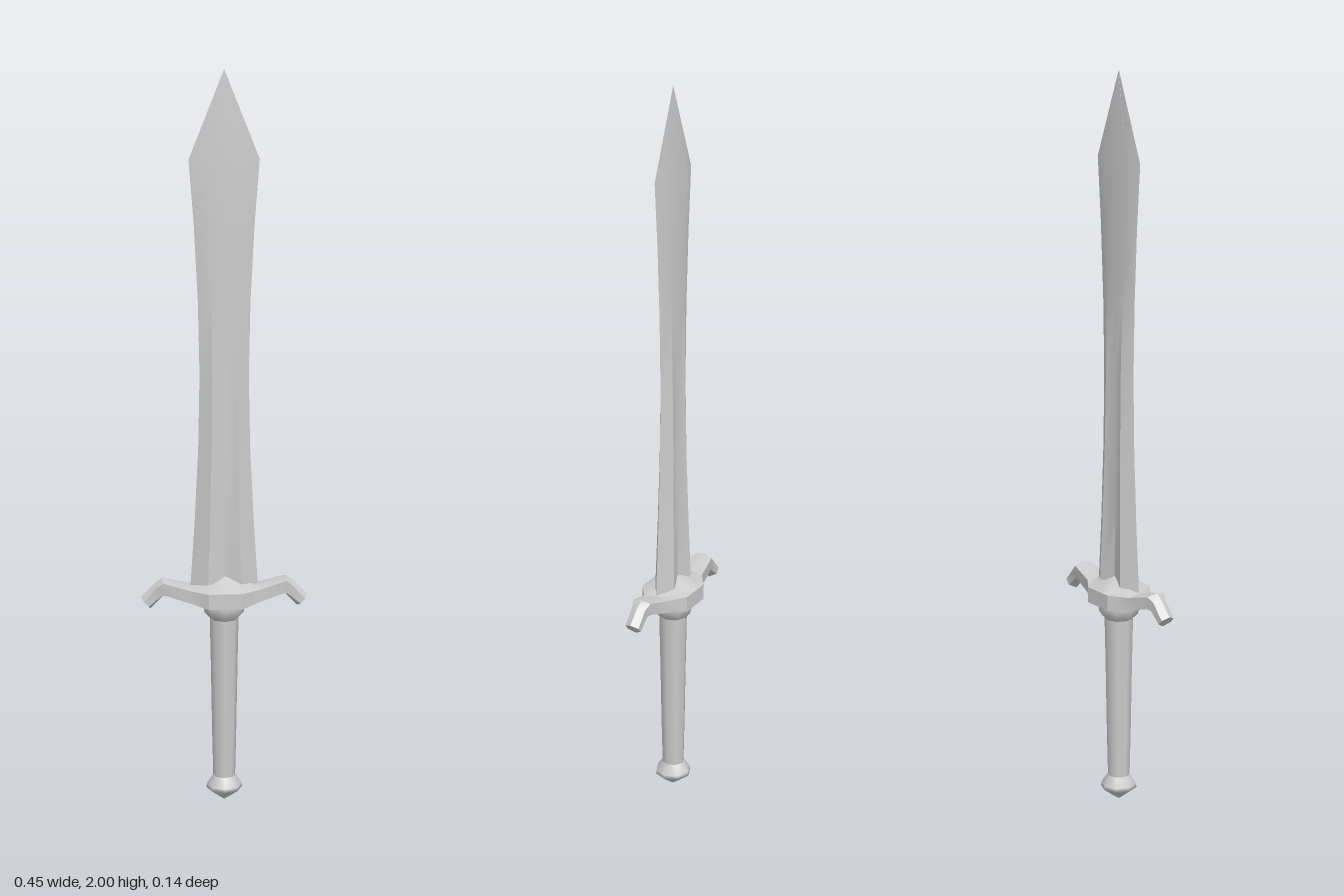
import * as THREE from 'three';
import { toCreasedNormals } from 'three/addons/utils/BufferGeometryUtils.js';

const material = new THREE.MeshStandardMaterial({ color: 0xcccccc });

// Skins a list of equal-length rings and closes both ends.
function loft(rings, crease) {
  const n = rings[0].length;
  const index = [];
  for (let r = 0; r < rings.length - 1; r++) {
    for (let i = 0; i < n; i++) {
      const a = r * n + i, b = r * n + (i + 1) % n;
      index.push(a, b, b + n, a, b + n, a + n);
    }
  }
  const last = (rings.length - 1) * n;
  for (let i = 1; i < n - 1; i++) {
    index.push(0, i + 1, i, last, last + i, last + i + 1);
  }
  const geometry = new THREE.BufferGeometry();
  geometry.setAttribute('position', new THREE.Float32BufferAttribute(rings.flat(2), 3));
  geometry.setIndex(index);
  return toCreasedNormals(geometry, crease);
}

function addPart(group, name, geometry) {
  const mesh = new THREE.Mesh(geometry, material);
  mesh.name = name;
  group.add(mesh);
}

// Waisted blade with a shallow groove: [height, half width, ridge depth, groove depth]
function bladeGeometry() {
  const stations = [
    [0.6, 0.092, 0.03, 0.014],
    [0.8, 0.079, 0.025, 0.013],
    [1.0, 0.069, 0.021, 0.012],
    [1.2, 0.065, 0.018, 0.011],
    [1.4, 0.069, 0.015, 0.011],
    [1.6, 0.079, 0.013, 0.01],
    [1.77, 0.092, 0.011, 0.01],
    [2.0, 0.0005, 0.0005, 0.0005],
  ];
  const rings = stations.map(([y, w, t, c]) => [
    [w, y, 0], [w * 0.5, y, -t], [0, y, -c], [-w * 0.5, y, -t],
    [-w, y, 0], [-w * 0.5, y, t], [0, y, c], [w * 0.5, y, t],
  ]);
  return loft(rings, 0.6);
}

// Crossguard: [half depth, top ridge, upper side, lower side, bottom ridge] as [x, y] points
function guardGeometry() {
  const half = [
    [0.07, [0, 0.655], [0, 0.615], [0, 0.572], [0, 0.565]],
    [0.07, [0.045, 0.638], [0.045, 0.615], [0.045, 0.572], [0.045, 0.565]],
    [0.037, [0.092, 0.62], [0.092, 0.615], [0.092, 0.58], [0.092, 0.574]],
    [0.027, [0.168, 0.642], [0.165, 0.635], [0.158, 0.6], [0.156, 0.596]],
    [0.02, [0.188, 0.628], [0.182, 0.621], [0.17, 0.597], [0.167, 0.59]],
    [0.02, [0.225, 0.59], [0.217, 0.582], [0.205, 0.568], [0.198, 0.558]],
  ];
  const ring = ([d, top, upper, lower, bottom], s) => [
    [s * top[0], top[1], 0], [s * upper[0], upper[1], d], [s * lower[0], lower[1], d],
    [s * bottom[0], bottom[1], 0], [s * lower[0], lower[1], -d], [s * upper[0], upper[1], -d],
  ];
  const left = half.slice(1).reverse().map((station) => ring(station, -1));
  return loft([...left, ...half.map((station) => ring(station, 1))], 0.6);
}

// Octagonal turned shape from [radius, height] pairs
function turned(points) {
  const profile = points.map(([r, y]) => new THREE.Vector2(r, y));
  return new THREE.LatheGeometry(profile, 8);
}

export function createModel() {
  const group = new THREE.Group();
  group.name = 'sword';
  addPart(group, 'blade', bladeGeometry());
  addPart(group, 'crossguard', guardGeometry());
  addPart(group, 'grip', turned([[0.03, 0.07], [0.033, 0.2], [0.036, 0.38], [0.039, 0.53]]));
  addPart(group, 'collar', turned([[0.037, 0.525], [0.053, 0.542], [0.056, 0.56], [0.056, 0.575]]));
  addPart(group, 'pommel', turned([[0, 0], [0.02, 0.014], [0.049, 0.036], [0.048, 0.047], [0.031, 0.073]]));
  return group;
}
